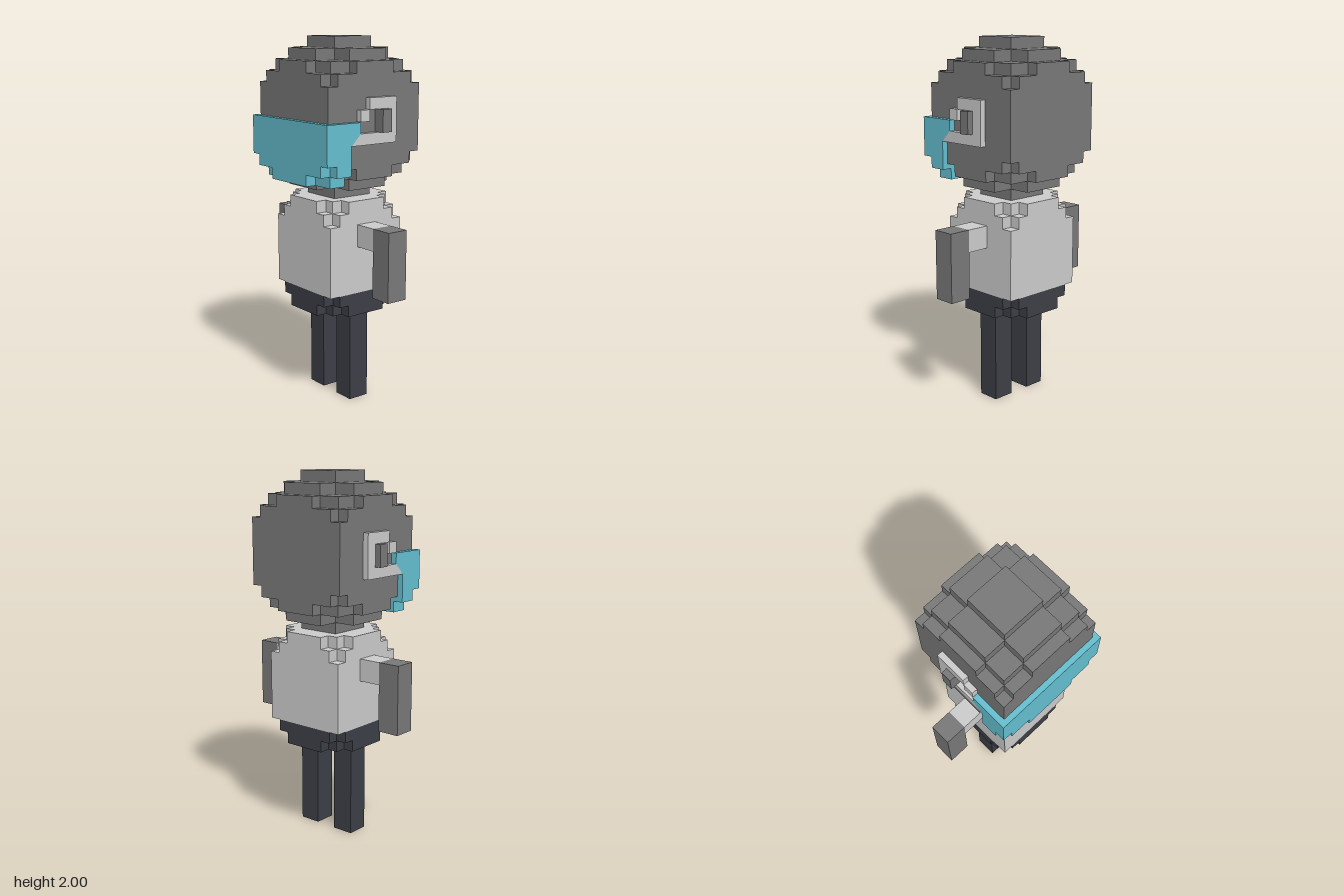
import * as THREE from 'three';

const mat = (color) => new THREE.MeshStandardMaterial({ color, flatShading: true, side: THREE.DoubleSide });

export function createModel() {
  const root = new THREE.Group();
  root.name = 'blockFigure';
  const figure = new THREE.Group();
  figure.name = 'figure';
  figure.position.z = -0.015;
  root.add(figure);

  const dark = mat(0x797979), light = mat(0xcccccc), blue = mat(0x65bfd0), navy = mat(0x3d3f47);

  const add = (name, geo, material, parent) => {
    const mesh = new THREE.Mesh(geo, material);
    mesh.name = name;
    parent.add(mesh);
    return mesh;
  };
  const group = (name) => {
    const g = new THREE.Group();
    g.name = name;
    figure.add(g);
    return g;
  };
  // Box from its limits on each axis
  const box = (x0, x1, y0, y1, z0, z1) =>
    new THREE.BoxGeometry(x1 - x0, y1 - y0, z1 - z0)
      .translate((x0 + x1) / 2, (y0 + y1) / 2, (z0 + z1) / 2);
  // Horizontal slab: one stepped corner, turned four times
  const slab = (corner, y0, y1) => {
    const pts = [];
    for (let q = 0; q < 4; q++) {
      for (let [x, z] of corner) {
        for (let i = 0; i < q; i++) [x, z] = [-z, x];
        pts.push(new THREE.Vector2(x, z));
      }
    }
    return new THREE.ExtrudeGeometry(new THREE.Shape(pts), { depth: y1 - y0, bevelEnabled: false })
      .rotateX(-Math.PI / 2).translate(0, y0, 0);
  };
  // Side profile of [z, y] points, extruded from x0 to x1
  const sidePlate = (points, x0, x1) =>
    new THREE.ExtrudeGeometry(new THREE.Shape(points.map((p) => new THREE.Vector2(...p))),
      { depth: x1 - x0, bevelEnabled: false })
      .rotateY(-Math.PI / 2).translate(x1, 0, 0);

  // Head: stepped layers, mirrored top and bottom; the lowest one is the neck
  const a = 0.122, b = 0.244, c = 0.305, u = 0.061;
  const headLayers = [
    [[a, a]],
    [[b, a], [a, a], [a, b]],
    [[c, a], [b, a], [b, b], [a, b], [a, c]],
    [[c, b], [b, b], [b, c]],
  ];
  const head = group('head');
  headLayers.forEach((corner, i) => {
    const top = 2 - i * u, bottom = 1.146 + i * u;
    add('headTopLayer', slab(corner, top - u, top), dark, head);
    add(i ? 'headBottomLayer' : 'neck', slab(corner, bottom, bottom + u), dark, head);
  });
  add('headMiddle', slab([[c, c]], 1.39, 1.756), dark, head);

  // Visor: follows the stepped underside of the head
  const visor = group('visor');
  add('visorBand', sidePlate([[0.18, 1.36], [0.335, 1.36], [0.335, 1.573], [0.12, 1.573],
    [0.12, 1.515], [0.18, 1.455]], -0.337, 0.337), blue, visor);
  add('visorMiddleSides', box(-0.337, 0.337, 1.3, 1.36, 0.18, 0.275), blue, visor);
  add('visorMiddleFront', box(-0.28, 0.28, 1.3, 1.36, 0.18, 0.335), blue, visor);
  add('visorLowerSides', box(-0.28, 0.28, 1.24, 1.3, 0.18, 0.275), blue, visor);
  add('visorLowerFront', box(-0.155, 0.155, 1.24, 1.3, 0.18, 0.335), blue, visor);

  // Torso with stepped shoulders, and trousers stepped the other way
  const e = 0.242, f = 0.181;
  const outer = [[e, 0.121], [f, 0.121], [f, f], [0.121, f], [0.121, e]];
  const inner = [[e, f], [f, f], [f, e]];
  const body = group('body');
  add('torsoTop', slab(outer, 1.082, 1.146), light, body);
  add('torsoShoulders', slab(inner, 1.02, 1.082), light, body);
  add('torso', slab([[e, e]], 0.638, 1.02), light, body);
  add('trousersTop', slab(inner, 0.576, 0.638), navy, body);
  add('trousersBottom', slab(outer, 0.513, 0.576), navy, body);

  // Paired parts
  for (const [side, s] of [['left', 1], ['right', -1]]) {
    const span = (x0, x1) => (s > 0 ? [x0, x1] : [-x1, -x0]);

    const ear = group(side + 'Ear');
    add('earFrame', sidePlate([[0.18, 1.455], [0.12, 1.515], [-0.06, 1.515], [-0.06, 1.635],
      [0.06, 1.635], [0.06, 1.695], [-0.12, 1.695], [-0.12, 1.455]], ...span(0.3, 0.337)), light, ear);
    add('earTab', box(...span(0.3, 0.337), 1.575, 1.635, 0.06, 0.12), light, ear);
    add('earKnob', box(...span(0.3, 0.37), 1.515, 1.635, -0.06, 0), dark, ear);

    const arm = group(side + 'Arm');
    add('sleeve', box(...span(0.24, 0.37), 0.895, 1.017, -0.061, 0.061), light, arm);
    add('forearm', box(...span(0.37, 0.495), 0.64, 1.017, -0.061, 0.061), dark, arm);

    add(side + 'Leg', box(...span(0.061, 0.182), 0, 0.515, -0.061, 0.061), navy, figure);
  }
  return root;
}
